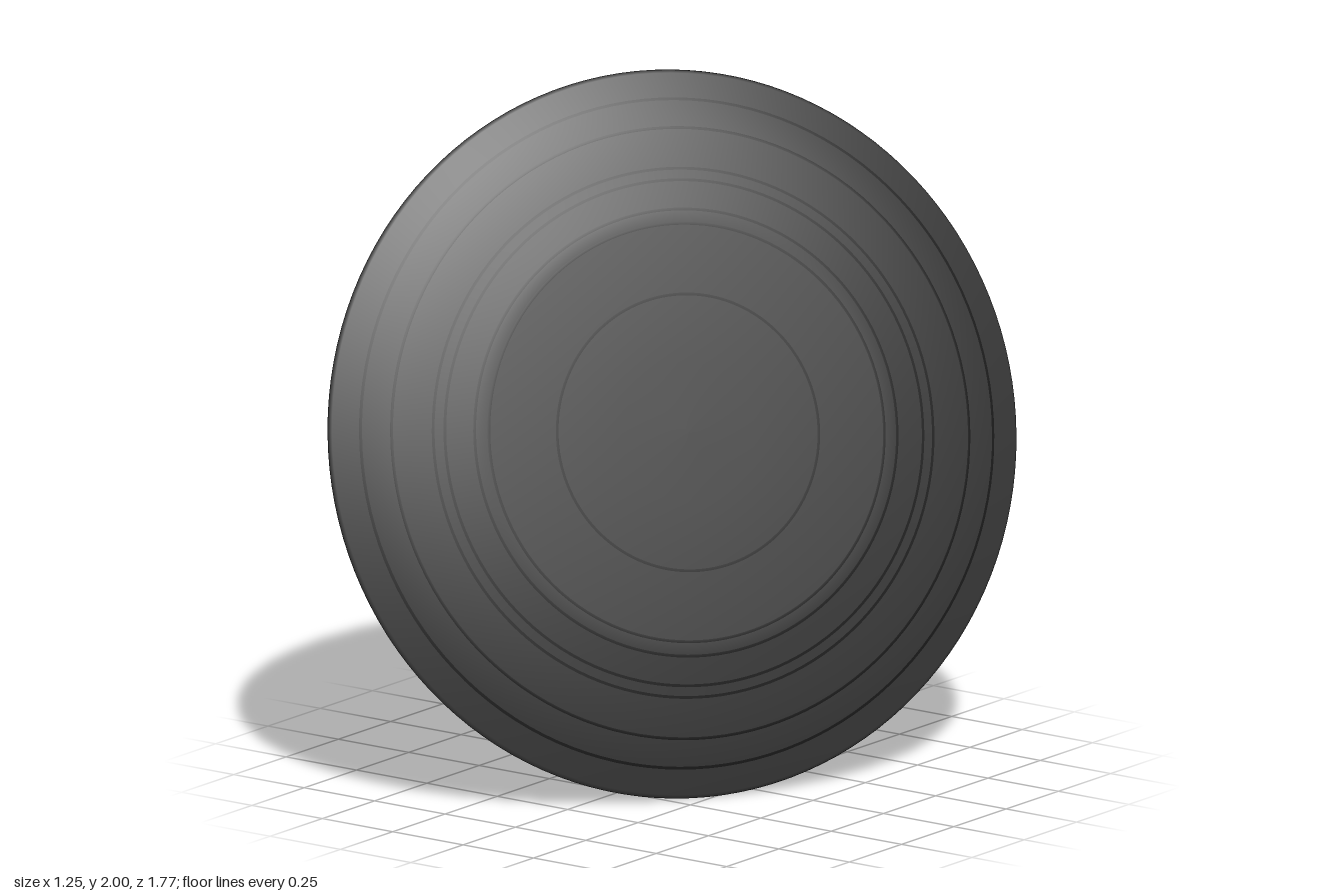
import * as THREE from 'three';

const mat = (name, color, extra = {}) => new THREE.MeshStandardMaterial({ name, color, ...extra });

// Front height of the dome against radius, with a seam at each inner knot
const KNOTS = [[0, 0.142], [0.2, 0.141], [0.395, 0.135], [0.597, 0.123], [0.638, 0.117], [0.722, 0.1],
  [0.755, 0.093], [0.872, 0.069], [0.955, 0.038], [1.03, 0.008]];
const SEAMS = [0.395, 0.597, 0.638, 0.722, 0.755, 0.872, 0.955];
const WALL = 0.02, PAD = 0.03;

function frontHeight(r) {
  for (let i = 1; i < KNOTS.length; i++) {
    const [r0, h0] = KNOTS[i - 1], [r1, h1] = KNOTS[i];
    if (r <= r1) return h0 + (h1 - h0) * (r - r0) / (r1 - r0);
  }
  return 0.008;
}
const backHeight = (x, y) => frontHeight(Math.hypot(x, y)) - WALL;

// Lathe turned so that its axis is z
function lathe(points) {
  const g = new THREE.LatheGeometry(points.map(p => new THREE.Vector2(...p)), 128);
  return g.rotateX(Math.PI / 2);
}

export function createModel() {
  const model = new THREE.Group();
  const shield = new THREE.Group();
  shield.name = 'shield';
  model.add(shield);

  const shellMat = mat('dark metal', 0x363636);
  const seamMat = mat('seam black', 0x191919, { side: THREE.DoubleSide });
  const padMat = mat('dark leather', 0x3c3c3c);
  const strapMat = mat('brown leather', 0x56300f);
  const steelMat = mat('steel', 0x959595);

  const add = (parent, name, geometry, material, x = 0, y = 0, z = 0) => {
    const mesh = new THREE.Mesh(geometry, material);
    mesh.name = name;
    mesh.position.set(x, y, z);
    parent.add(mesh);
    return mesh;
  };

  // Domed shell: back outwards, round the rim, front inwards
  const back = KNOTS.map(([r, h]) => [r, h - WALL]);
  const front = KNOTS.slice().reverse();
  add(shield, 'shell', lathe([...back, [1.038, -0.008], [1.04, -0.002], [1.038, 0.004], ...front]), shellMat);

  // Thin seams between the bands, on both sides
  for (const r of SEAMS) {
    const a = r - 0.004, b = r + 0.004;
    for (const off of [0.002, -WALL - 0.002]) {
      add(shield, 'seam', lathe([[a, frontHeight(a) + off], [r, frontHeight(r) + off], [b, frontHeight(b) + off]]), seamMat);
    }
  }

  // Leather pad: a box bent onto the back of the shell between four corners
  function pad(parent, name, quad) {
    const g = new THREE.BoxGeometry(1, 1, 1, 14, 6, 1);
    const p = g.attributes.position;
    for (let i = 0; i < p.count; i++) {
      const u = p.getX(i) + 0.5, v = p.getY(i) + 0.5;
      const w = [(1 - u) * (1 - v), u * (1 - v), u * v, (1 - u) * v];
      const x = quad.reduce((s, c, k) => s + c[0] * w[k], 0);
      const y = quad.reduce((s, c, k) => s + c[1] * w[k], 0);
      p.setXYZ(i, x, y, backHeight(x, y) + (p.getZ(i) > 0 ? 0.004 : -PAD));
    }
    g.computeVertexNormals();
    add(parent, name, g, padMat);
  }

  // Mirrors a quad and keeps its corners anticlockwise
  function mirror(quad, sx, sy) {
    const q = quad.map(([x, y]) => [x * sx, y * sy]);
    return sx * sy < 0 ? [q[1], q[0], q[3], q[2]] : q;
  }

  // Row of rivets from a to b
  const rivetGeo = new THREE.SphereGeometry(0.0085, 8, 6);
  function rivets(parent, a, b, count) {
    for (let i = 0; i < count; i++) {
      const t = i / (count - 1);
      const x = a[0] + (b[0] - a[0]) * t, y = a[1] + (b[1] - a[1]) * t;
      add(parent, 'rivet', rivetGeo, steelMat, x, y, backHeight(x, y) - PAD - 0.002);
    }
  }

  // Steel bar along x, y or z
  function bar(parent, name, axis, length, x, y, z, radius = 0.008) {
    const g = new THREE.CylinderGeometry(radius, radius, length, 10);
    if (axis === 'x') g.rotateZ(Math.PI / 2);
    if (axis === 'z') g.rotateX(Math.PI / 2);
    add(parent, name, g, steelMat, x, y, z);
  }

  const strapZ = y => 0.008 + 0.055 * Math.pow(Math.abs(y) / 0.33, 3);
  const centre = 0.46;

  for (const side of [1, -1]) {
    const grip = new THREE.Group();
    grip.name = side > 0 ? 'leftGrip' : 'rightGrip';
    shield.add(grip);

    // Upright pad and its two arms reaching to the rim
    pad(grip, 'uprightPad', mirror([[0.37, -0.365], [0.55, -0.29], [0.55, 0.29], [0.37, 0.365]], side, 1));
    rivets(grip, [0.39 * side, -0.33], [0.39 * side, 0.33], 10);
    rivets(grip, [0.53 * side, -0.27], [0.53 * side, 0.27], 8);
    for (const up of [1, -1]) {
      pad(grip, 'armPad', mirror([[0.37, 0.365], [0.55, 0.29], [0.885, 0.46], [0.79, 0.61]], side, up));
      rivets(grip, [0.41 * side, 0.365 * up], [0.78 * side, 0.58 * up], 6);
      rivets(grip, [0.58 * side, 0.325 * up], [0.86 * side, 0.47 * up], 5);
    }

    // Brown strap, bowed off the pad and narrowed at its ends
    const g = new THREE.BoxGeometry(0.1, 0.68, 0.018, 1, 20, 1);
    const p = g.attributes.position;
    for (let i = 0; i < p.count; i++) {
      const y = p.getY(i);
      const narrow = Math.abs(y) > 0.32 ? 0.6 : 1;
      p.setXYZ(i, p.getX(i) * narrow, y, p.getZ(i) + strapZ(y));
    }
    g.computeVertexNormals();
    add(grip, 'strap', g, strapMat, centre * side);

    // Staples that hold the strap
    for (const y of [0.29, -0.22]) {
      const z = strapZ(y) - 0.02;
      bar(grip, 'stapleBar', 'x', 0.13, centre * side, y, z, 0.009);
      for (const e of [-1, 1]) {
        const x = centre * side + e * 0.062, foot = backHeight(x, y) - PAD;
        bar(grip, 'staplePost', 'z', foot - z + 0.014, x, y, (foot + z) / 2, 0.011);
        bar(grip, 'stapleFoot', 'y', 0.05, x, y, foot - 0.004, 0.009);
      }
    }

    // Buckle frame with a centre bar
    const by = -0.06, bz = strapZ(by) - 0.016;
    for (const dy of [-0.038, 0, 0.038]) bar(grip, 'buckleBar', 'x', 0.13, centre * side, by + dy, bz, dy ? 0.008 : 0.005);
    for (const e of [-1, 1]) bar(grip, 'buckleSide', 'y', 0.09, centre * side + e * 0.062, by, bz);
  }

  // Lean the shield: z axis becomes its facing, then roll the grips in its plane
  const n = new THREE.Vector3(0.803, 0.27, 0.53).normalize();
  const e1 = new THREE.Vector3(n.z, 0, -n.x).normalize();
  const e2 = new THREE.Vector3().crossVectors(n, e1);
  shield.quaternion.setFromRotationMatrix(new THREE.Matrix4().makeBasis(e1, e2, n));
  shield.rotateZ(-0.238);
  shield.position.set(0, 1, 0);
  return model;
}
